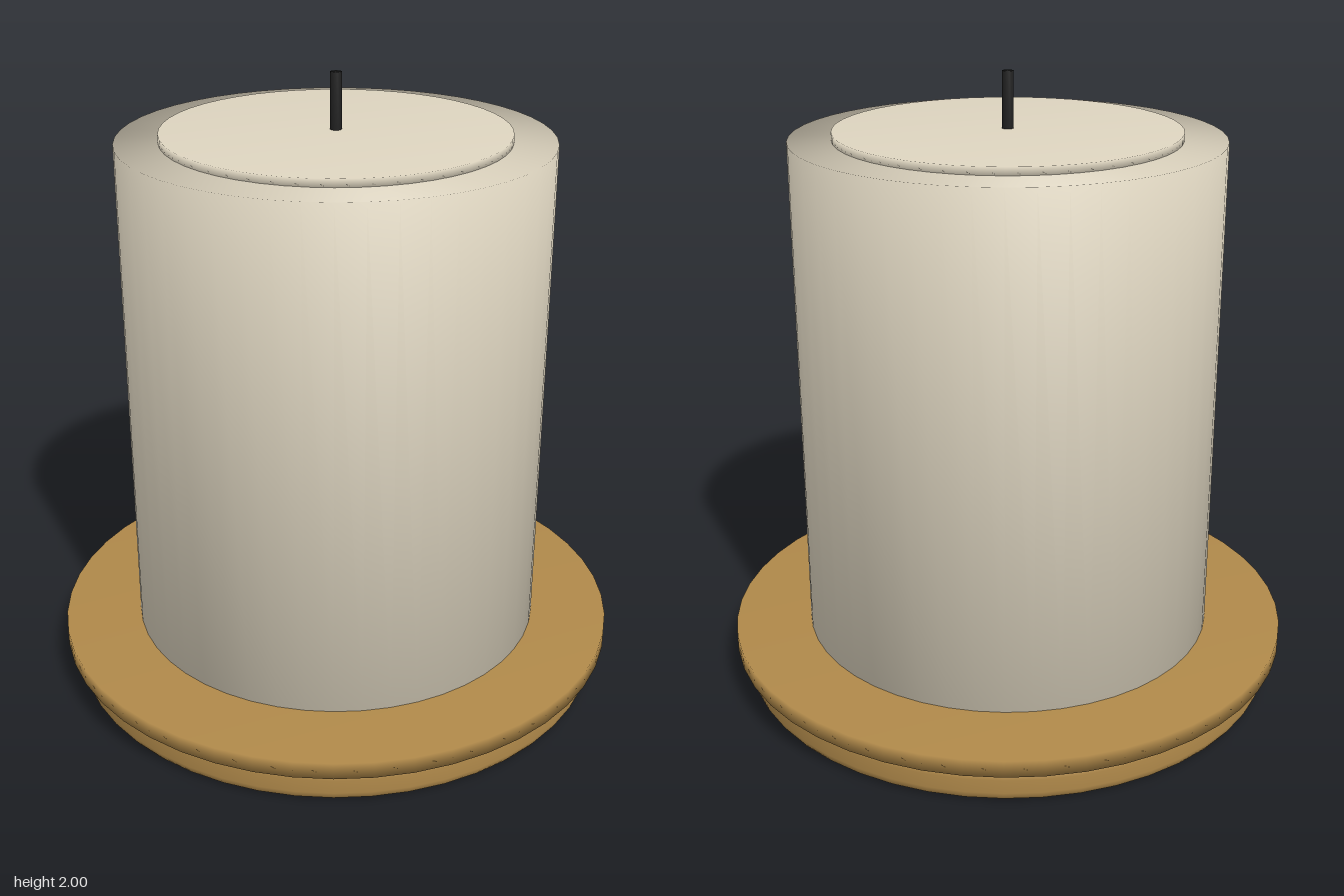
import * as THREE from 'three';

const SEGMENTS = 48;

export function createModel() {
  const group = new THREE.Group();
  const wax = new THREE.MeshStandardMaterial({ name: 'cream wax', color: 0xded5c0 });
  const wood = new THREE.MeshStandardMaterial({ name: 'golden brown', color: 0xb0894a });
  const char = new THREE.MeshStandardMaterial({ name: 'charred black', color: 0x222222 });

  // Turned part: profile of [radius, height] pairs from bottom to top
  const turn = (name, material, profile, segments = SEGMENTS) => {
    const points = profile.map(([r, y]) => new THREE.Vector2(r, y));
    const mesh = new THREE.Mesh(new THREE.LatheGeometry(points, segments), material);
    mesh.name = name;
    group.add(mesh);
  };
  // Closed disc with softly shaded edges
  const disc = (r, y0, y1) => [[0, y0], [r, y0], [r, y1], [0, y1]];

  // Rounded foot under the tray
  const foot = [[0, 0], [0.84, 0]];
  const bevel = 0.035, radius = 0.885, top = 0.115;
  for (const [start, cy] of [[-Math.PI / 2, bevel], [0, top - bevel]]) {
    for (let i = 0; i <= 4; i++) {
      const a = start + (i / 4) * Math.PI / 2;
      foot.push([radius - bevel + Math.cos(a) * bevel, cy + Math.sin(a) * bevel]);
    }
  }
  foot.push([0.84, 0.122], [0, 0.122]);
  turn('foot', wood, foot);

  // Wide tray plate
  turn('tray', wood, disc(0.925, 0.12, 0.175));

  // Candle body and raised wax top
  turn('candleBody', wax, disc(0.675, 0.17, 1.8));
  turn('waxTop', wax, disc(0.54, 1.79, 1.825));

  // Wick
  turn('wick', char, disc(0.018, 1.81, 2), 16);

  return group;
}
